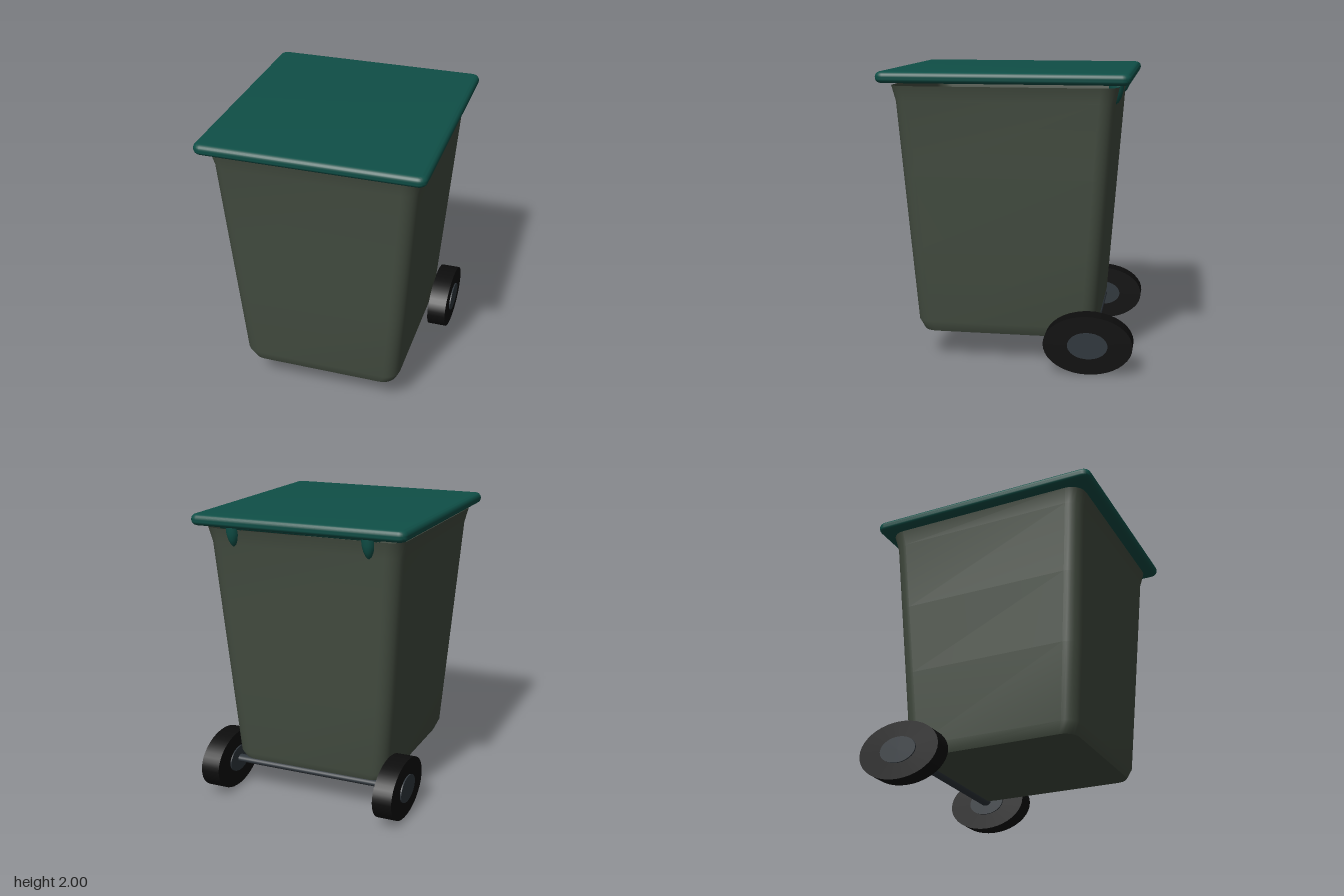
import * as THREE from 'three';
import { toCreasedNormals } from 'three/addons/utils/BufferGeometryUtils.js';

const material = (name, color, side = THREE.FrontSide) => {
  const m = new THREE.MeshStandardMaterial({ color, side });
  m.name = name;
  return m;
};

// Points around a rounded rectangle centred on x = 0, at depth offset cz
function ring(hx, hz, cz, r, steps = 6) {
  const pts = [];
  const signs = [[1, 1], [-1, 1], [-1, -1], [1, -1]];
  signs.forEach(([sx, sz], corner) => {
    for (let i = 0; i <= steps; i++) {
      const a = (corner + i / steps) * Math.PI / 2;
      pts.push([sx * (hx - r) + r * Math.cos(a), cz + sz * (hz - r) + r * Math.sin(a)]);
    }
  });
  return pts;
}

// Skin stacked rings with smooth normals; levels are [y, halfX, front z, back z, corner radius]
function loft(levels) {
  const pos = [], index = [];
  let n = 0;
  levels.forEach(([y, hx, front, back, r]) => {
    const pts = ring(hx, (front - back) / 2, (front + back) / 2, r);
    n = pts.length;
    pts.forEach(([x, z]) => pos.push(x, y, z));
  });
  for (let l = 0; l < levels.length - 1; l++) {
    for (let i = 0; i < n; i++) {
      const j = (i + 1) % n, a = l * n, b = a + n;
      index.push(a + i, b + i, a + j, a + j, b + i, b + j);
    }
  }
  const geo = new THREE.BufferGeometry();
  geo.setAttribute('position', new THREE.Float32BufferAttribute(pos, 3));
  geo.setIndex(index);
  geo.computeVertexNormals();
  return geo;
}

export function createModel() {
  const model = new THREE.Group();
  model.name = 'wheeledBin';
  const bodyMat = material('olive plastic', 0x434c40, THREE.DoubleSide);
  const lidMat = material('teal plastic', 0x0f4f47);
  const tyreMat = material('black rubber', 0x0d0d0d);
  const metalMat = material('dark metal', 0x30373d);

  const add = (parent, name, geo, mat, x = 0, y = 0, z = 0) => {
    const mesh = new THREE.Mesh(geo, mat);
    mesh.name = name;
    mesh.position.set(x, y, z);
    parent.add(mesh);
    return mesh;
  };

  // Tapered body with chamfered foot and flared rim
  const foot = [0.195, 0.535, 0.615, -0.565, 0.1];
  add(model, 'body', loft([
    foot,
    [0.27, 0.567, 0.645, -0.597, 0.1],
    [0.8, 0.606, 0.682, -0.634, 0.1],
    [1.3, 0.643, 0.716, -0.669, 0.1],
    [1.8, 0.68, 0.75, -0.704, 0.1],
    [1.905, 0.705, 0.775, -0.729, 0.11],
  ]), bodyMat);

  // Flat floor of the body
  const floorShape = new THREE.Shape(
    ring(foot[1], (foot[2] - foot[3]) / 2, (foot[2] + foot[3]) / 2, foot[4])
      .map(([x, z]) => new THREE.Vector2(x, z)));
  add(model, 'floor', new THREE.ShapeGeometry(floorShape).rotateX(Math.PI / 2), bodyMat, 0, foot[0], 0);

  // Lid slab with fully rounded edges
  const bevel = 0.035;
  const lidShape = new THREE.Shape(
    ring(0.757 - bevel, 0.833 - bevel, 0, 0.022).map(([x, z]) => new THREE.Vector2(x, z)));
  const lidGeo = new THREE.ExtrudeGeometry(lidShape, {
    depth: 0.005, bevelThickness: bevel, bevelSize: bevel, bevelSegments: 6,
  });
  lidGeo.rotateX(-Math.PI / 2);
  add(model, 'lid', toCreasedNormals(lidGeo, 0.7), lidMat, 0, 1.925 + bevel, 0.022);

  // Hinge rod and tongues under the rear of the lid
  const rodGeo = new THREE.CylinderGeometry(0.022, 0.022, 1.12, 16).rotateZ(Math.PI / 2);
  add(model, 'hingeRod', rodGeo, lidMat, 0, 1.927, -0.72);
  const tongueProfile = [[0, -0.14], [0.018, -0.125], [0.036, -0.09], [0.047, -0.05], [0.052, 0], [0.052, 0.02]]
    .map(([r, y]) => new THREE.Vector2(r, y));
  for (const side of [-1, 1]) {
    add(model, 'hingeTongue', new THREE.LatheGeometry(tongueProfile, 20), lidMat, side * 0.48, 1.925, -0.703);
  }

  // Axle and wheels, stretched front to back
  const running = new THREE.Group();
  running.name = 'wheelAssembly';
  running.position.set(0, 0.2, -0.555);
  running.scale.z = 1.5;
  model.add(running);
  const disc = (r, width) => new THREE.CylinderGeometry(r, r, width, 40).rotateZ(Math.PI / 2);
  add(running, 'axle', disc(0.025, 1.2), metalMat);
  for (const side of [-1, 1]) {
    add(running, 'tyre', disc(0.2, 0.135), tyreMat, side * 0.642);
    add(running, 'hub', disc(0.09, 0.153), metalMat, side * 0.642);
  }
  return model;
}
